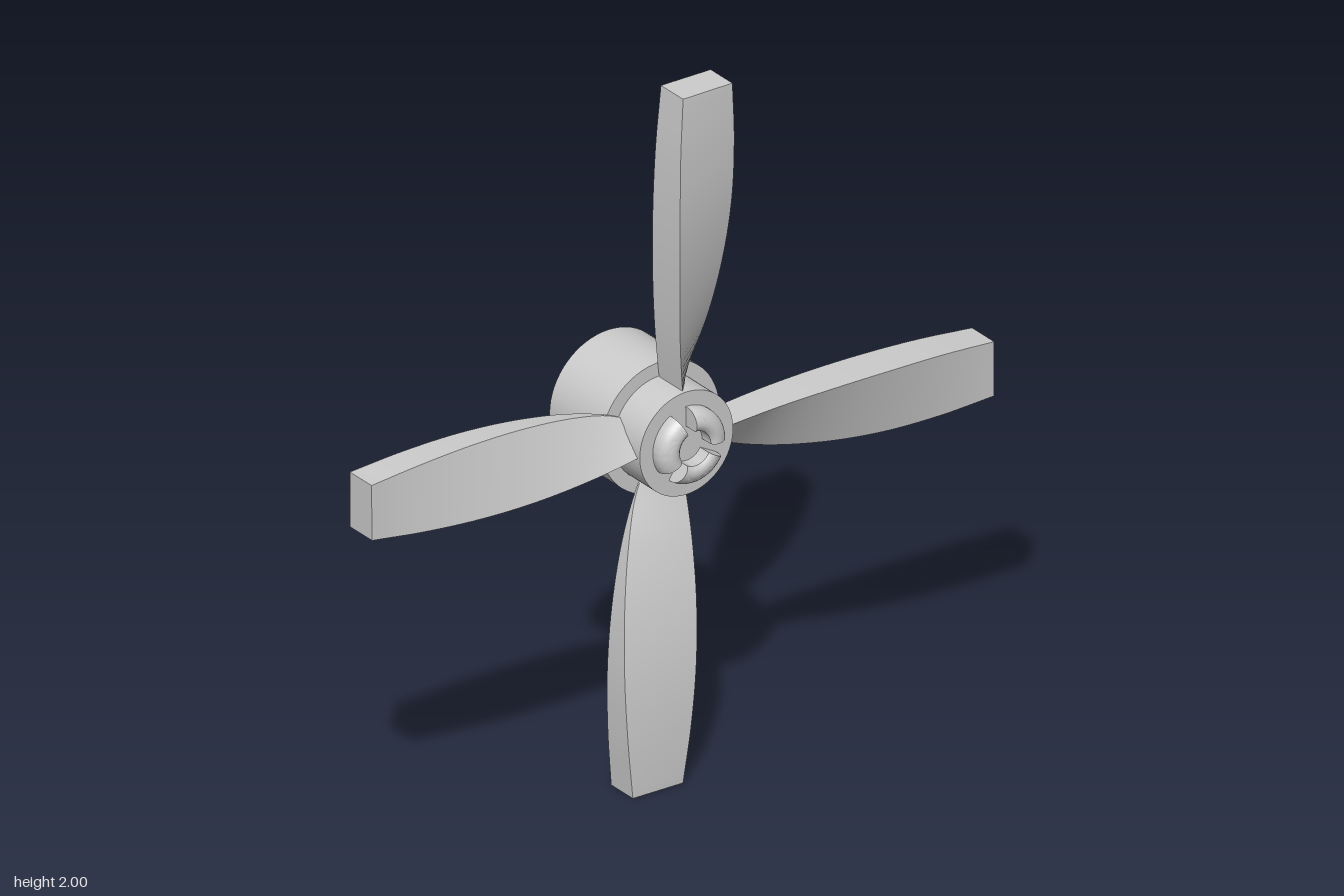
import * as THREE from 'three';
import { toCreasedNormals } from 'three/addons/utils/BufferGeometryUtils.js';

const grey = new THREE.MeshStandardMaterial({ color: 0xcccccc });
const greyDouble = new THREE.MeshStandardMaterial({ color: 0xcccccc, side: THREE.DoubleSide });
const pale = new THREE.MeshStandardMaterial({ color: 0xdacdc2, side: THREE.DoubleSide });

function part(name, geometry, material = grey) {
  const mesh = new THREE.Mesh(geometry, material);
  mesh.name = name;
  return mesh;
}

// Lathe about the z axis; profile points are [radius, z]
function turned(profile, segments, start = 0, length = Math.PI * 2) {
  const points = profile.map(([r, z]) => new THREE.Vector2(r, z));
  const g = new THREE.LatheGeometry(points, segments, start, length).rotateX(Math.PI / 2);
  return toCreasedNormals(g, 0.6);
}

// Twisted blade: flat back, front face ruled between two curved edges
function bladeGeometry() {
  const back = 0.035, rows = 40;
  const curve = (pts) => new THREE.CatmullRomCurve3(pts.map((p) => new THREE.Vector3(...p)));
  const leading = curve([[0.005, 0.07, 0.135], [-0.008, 0.17, 0.142], [-0.02, 0.3, 0.15],
    [-0.027, 0.47, 0.158], [-0.026, 0.65, 0.158], [-0.017, 0.83, 0.148], [0, 1, 0.135]]);
  const trailing = curve([[0.035, 0.07, 0.037], [0.085, 0.17, 0.042], [0.126, 0.3, 0.066],
    [0.157, 0.47, 0.092], [0.172, 0.65, 0.113], [0.171, 0.83, 0.126], [0.16, 1, 0.133]]);
  const pos = [], index = [];
  for (let i = 0; i <= rows; i++) {
    const l = leading.getPoint(i / rows), t = trailing.getPoint(i / rows);
    pos.push(l.x, l.y, back, t.x, t.y, back, t.x, t.y, t.z, l.x, l.y, l.z);
    if (i === rows) break;
    for (let k = 0; k < 4; k++) {
      const a = i * 4 + k, b = i * 4 + (k + 1) % 4;
      index.push(a, a + 4, b, b, a + 4, b + 4);
    }
  }
  const e = rows * 4;
  index.push(e, e + 3, e + 2, e, e + 2, e + 1, 0, 1, 2, 0, 2, 3);
  const g = new THREE.BufferGeometry();
  g.setAttribute('position', new THREE.Float32BufferAttribute(pos, 3));
  g.setIndex(index);
  return toCreasedNormals(g, 0.5);
}

export function createModel() {
  const model = new THREE.Group();
  model.name = 'propeller';

  // Hub: cup open at the back, narrower boss in front
  model.add(part('hub', turned([[0, 0.02], [0.158, 0.02], [0.158, -0.2], [0.19, -0.2],
    [0.19, 0.032], [0.15, 0.032], [0.15, 0.15], [0, 0.15]], 64)));
  model.add(part('cupLiner', turned([[0.157, -0.08], [0.157, -0.199]], 64), pale));

  // Four blades
  const blade = bladeGeometry();
  for (let i = 0; i < 4; i++) {
    const mesh = part('blade', blade);
    mesh.rotation.z = i * Math.PI / 2;
    model.add(mesh);
  }

  // Rounded front collar split by three slots
  const collar = [[0.05, 0.145], [0.108, 0.145], [0.108, 0.16]];
  for (let i = 1; i <= 8; i++) {
    const a = i / 8 * Math.PI / 2;
    collar.push([0.068 + 0.04 * Math.cos(a), 0.16 + 0.04 * Math.sin(a)]);
  }
  collar.push([0.058, 0.198], [0.05, 0.19], [0.05, 0.145]);
  const section = new THREE.Shape(collar.map(([r, z]) => new THREE.Vector2(r, z)));
  const slot = 0.24, arc = Math.PI * 2 / 3 - 2 * slot;
  for (let i = 0; i < 3; i++) {
    const start = THREE.MathUtils.degToRad(105 + i * 120) + slot;
    const segment = new THREE.Group();
    segment.name = 'collarSegment';
    segment.add(part('collarArc', turned(collar, 20, start + Math.PI / 2, arc)));
    for (const angle of [start, start + arc]) {
      const cap = new THREE.ShapeGeometry(section).rotateX(Math.PI / 2).rotateZ(angle);
      segment.add(part('collarEnd', cap, greyDouble));
    }
    model.add(segment);
  }

  model.position.y = 1;
  const root = new THREE.Group();
  root.add(model);
  return root;
}
